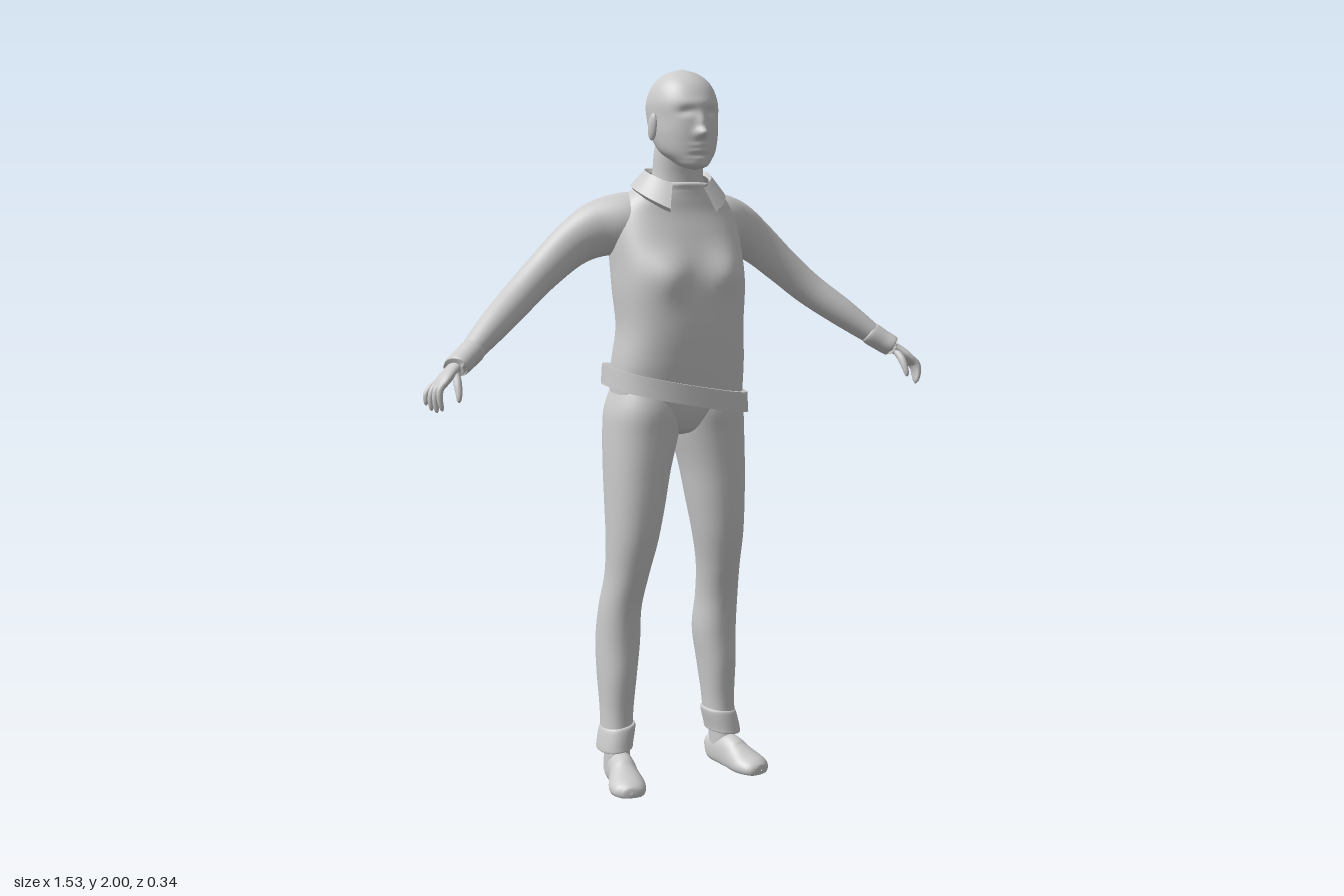
import * as THREE from 'three';
import { toCreasedNormals } from 'three/addons/utils/BufferGeometryUtils.js';

// Double sided because the clothes are open at hems and cuffs
const grey = new THREE.MeshStandardMaterial({ color: 0xcccccc, side: THREE.DoubleSide });
grey.name = 'lightGrey';

// Surface from a grid of points, closed around the second direction
function grid(nu, nv, point) {
  const pos = [], idx = [];
  for (let i = 0; i <= nu; i++)
    for (let j = 0; j < nv; j++) pos.push(...point(i / nu, j));
  for (let i = 0; i < nu; i++)
    for (let j = 0; j < nv; j++) {
      const k = (j + 1) % nv, a = i * nv + j, b = i * nv + k;
      idx.push(a, a + nv, b, b, a + nv, b + nv);
    }
  const g = new THREE.BufferGeometry();
  g.setAttribute('position', new THREE.Float32BufferAttribute(pos, 3));
  g.setIndex(idx);
  g.computeVertexNormals();
  return g;
}

const oval = (a, n) => [Math.cos(a), Math.sin(a)].map(c => Math.sign(c) * Math.abs(c) ** (2 / n));

// Smooth loft through rings [x, y, z, radiusU, radiusV, squareness]
function loft(rings, { level = true, ref = [0, 0, 1], side = 1, seg = 32, steps = 6, bend } = {}) {
  const line = f => new THREE.CatmullRomCurve3(rings.map(f), false, 'catmullrom', 0.5);
  const path = line(r => new THREE.Vector3(r[0] * side, r[1], r[2]));
  const size = line(r => new THREE.Vector3(r[3], r[4], r[5] || 2));
  const p = new THREE.Vector3();
  return grid((rings.length - 1) * steps, seg, (t, j) => {
    const s = size.getPoint(t);
    const dir = level ? new THREE.Vector3(0, 1, 0) : path.getTangent(t);
    const v = new THREE.Vector3(...ref).projectOnPlane(dir).normalize();
    const u = new THREE.Vector3().crossVectors(dir, v);
    const [c, d] = oval(j / seg * Math.PI * 2, s.z);
    path.getPoint(t, p);
    p.addScaledVector(u, c * Math.max(s.x, 0.001)).addScaledVector(v, d * Math.max(s.y, 0.001));
    if (bend) bend(p);
    return p.toArray();
  });
}

// Level ring from height, half width, front z and back z
const ring = (y, w, front, back, n, x = 0) => [x, y, (front + back) / 2, w, (front - back) / 2, n];
const bump = (a, b) => Math.exp(-a * a - b * b);

export function createModel() {
  const model = new THREE.Group();
  const add = (name, geo) => {
    const m = new THREE.Mesh(geo, grey);
    m.name = name;
    model.add(m);
    return m;
  };

  // Head with nose, brow, eye sockets, lips and chin shaped into the face
  add('head', loft([
    ring(1.728, 0.002, 0.1, 0.095), ring(1.737, 0.035, 0.127, 0.06), ring(1.755, 0.056, 0.132, 0.02),
    ring(1.78, 0.077, 0.133, -0.025), ring(1.82, 0.089, 0.136, -0.062), ring(1.86, 0.093, 0.136, -0.083),
    ring(1.91, 0.094, 0.133, -0.09), ring(1.955, 0.078, 0.11, -0.068), ring(1.985, 0.046, 0.07, -0.03),
    ring(1.999, 0.002, 0.022, 0.018),
  ], {
    seg: 80, steps: 8, bend: p => {
      if (p.z < 0.06) return;
      const x = Math.abs(p.x), y = p.y;
      p.z += 0.025 * bump(x / 0.015, (y - 1.825) / 0.013) + 0.013 * bump(x / 0.012, (y - 1.852) / 0.025)
        + 0.003 * bump(x / 0.04, (y - 1.905) / 0.014) - 0.009 * bump((x - 0.037) / 0.02, (y - 1.882) / 0.011)
        + 0.005 * bump(x / 0.026, (y - 1.793) / 0.006) + 0.005 * bump(x / 0.022, (y - 1.779) / 0.006)
        - 0.003 * bump(x / 0.03, (y - 1.766) / 0.006);
    },
  }));
  add('neck', loft([
    ring(1.6, 0.09, 0.05, -0.09), ring(1.67, 0.083, 0.056, -0.085), ring(1.72, 0.073, 0.057, -0.064),
    ring(1.78, 0.069, 0.065, -0.058), ring(1.83, 0.06, 0.06, -0.045),
  ]));

  // Shirt body, its lower edge slanting with the belt
  add('shirt', loft([
    ring(1.1, 0.19, 0.115, -0.145, 2.5), ring(1.2, 0.188, 0.13, -0.134, 2.6), ring(1.3, 0.179, 0.14, -0.12, 2.6),
    ring(1.4, 0.186, 0.137, -0.13, 2.6), ring(1.47, 0.188, 0.124, -0.138, 2.6), ring(1.55, 0.19, 0.097, -0.148, 2.4),
    ring(1.61, 0.183, 0.076, -0.145, 2.2), ring(1.65, 0.155, 0.069, -0.128, 2.1), ring(1.675, 0.125, 0.066, -0.115),
    ring(1.695, 0.085, 0.062, -0.09), ring(1.697, 0.002, 0, -0.004),
  ], {
    seg: 64, bend: p => {
      if (p.y < 1.2) p.y -= 1.9 * p.x * (1.2 - p.y);
      if (p.z > 0) p.z += 0.022 * bump((Math.abs(p.x) - 0.085) / 0.055, (p.y - 1.45) / 0.06) * Math.min(1, p.z / 0.08);
    },
  }));

  // Folded collar, open at the front with hanging points
  const collarProfile = [[0.088, 0.072, -0.012], [0.094, 0.085, 0], [0.134, 0.122, -0.042], [0.126, 0.112, -0.052]];
  const collar = grid(40, 4, (t, j) => {
    const a = (t * 2 - 1) * 2.55, [rx, rz, h] = collarProfile[j];
    const front = (1 - Math.cos(a)) / 2;
    return [rx * Math.sin(a), 1.735 + h - 0.05 * front ** 2 - (j > 1 ? 0.035 * front ** 3 : 0), -rz * Math.cos(a)];
  });
  add('collar', toCreasedNormals(collar, 0.7));

  // Slanted belt
  const beltProfile = [[-0.02, -0.055], [-0.02, 0], [0.003, 0], [0.006, -0.055]];
  const belt = grid(64, 4, (t, j) => {
    const [out, h] = beltProfile[j], [c, s] = oval(t * Math.PI * 2 - Math.PI / 2, 2.5);
    const x = (0.204 + out) * c, z = -0.018 + (0.147 + out) * s;
    return [x, 1.152 + h - 0.19 * x - 0.08 * z, z];
  }).scale(1, 1, 1);
  add('belt', toCreasedNormals(belt, 0.7));

  // Trouser seat filling the space between the legs
  add('trouserSeat', loft([
    ring(0.99, 0.002, -0.025, -0.03), ring(1.005, 0.05, 0.048, -0.1), ring(1.04, 0.12, 0.076, -0.13, 2.2),
    ring(1.09, 0.18, 0.093, -0.142, 2.4), ring(1.14, 0.188, 0.1, -0.145, 2.4),
  ], { seg: 48 }));

  for (const side of [1, -1]) {
    const name = part => (side > 0 ? 'left' : 'right') + part;
    const leg = (y, inner, outer, front, back) => ring(y, (outer - inner) / 2, front, back, 2.2, (inner + outer) / 2);

    // Leg, hem, ankle and foot
    add(name('TrouserLeg'), loft([
      leg(0.12, 0.125, 0.212, -0.008, -0.115), leg(0.2, 0.12, 0.211, -0.01, -0.122), leg(0.3, 0.109, 0.215, -0.002, -0.14),
      leg(0.4, 0.097, 0.216, 0.0, -0.149), leg(0.5, 0.099, 0.213, 0.012, -0.13), leg(0.6, 0.088, 0.205, 0.04, -0.106),
      leg(0.7, 0.067, 0.207, 0.064, -0.1), leg(0.8, 0.047, 0.209, 0.075, -0.112), leg(0.9, 0.028, 0.21, 0.08, -0.126),
      leg(1.0, 0.002, 0.208, 0.085, -0.14), leg(1.07, -0.01, 0.202, 0.09, -0.145), leg(1.14, -0.01, 0.18, 0.08, -0.13),
    ], { side }));
    add(name('TrouserHem'), loft([
      leg(0.1, 0.14, 0.2, -0.025, -0.09), leg(0.09, 0.13, 0.222, 0.004, -0.118), leg(0.105, 0.126, 0.224, 0.005, -0.121),
      leg(0.15, 0.116, 0.215, -0.003, -0.12), leg(0.158, 0.125, 0.206, -0.012, -0.112),
    ], { side, bend: p => { p.y -= 0.12 * (Math.abs(p.x) - 0.17); } }));
    add(name('Ankle'), loft([
      ring(0.02, 0.036, -0.005, -0.098, 2, 0.172), ring(0.07, 0.036, -0.005, -0.096, 2, 0.172), ring(0.14, 0.036, -0.02, -0.1, 2, 0.17),
    ], { side }));
    add(name('Foot'), loft([
      [0.164, 0.026, -0.102, 0.002, 0.002, 2.5], [0.164, 0.026, -0.1, 0.024, 0.03, 2.5], [0.167, 0.03, -0.075, 0.034, 0.045, 2.5],
      [0.176, 0.03, -0.01, 0.038, 0.056, 2.2], [0.186, 0.02, 0.03, 0.045, 0.05], [0.196, 0.015, 0.07, 0.052, 0.037],
      [0.203, 0.012, 0.105, 0.044, 0.028], [0.207, 0.012, 0.121, 0.026, 0.018], [0.208, 0.012, 0.125, 0.002, 0.002],
    ], { side, level: false, ref: [0, 1, 0], bend: p => { p.y = Math.max(p.y, 0); } }));

    // Sleeve widening into the shoulder, and cuff
    add(name('Sleeve'), loft([
      [0.07, 1.585, -0.042, 0.085, 0.095], [0.145, 1.582, -0.052, 0.086, 0.084], [0.215, 1.568, -0.066, 0.077, 0.066],
      [0.29, 1.527, -0.072, 0.062, 0.052], [0.375, 1.458, -0.066, 0.052, 0.048], [0.455, 1.39, -0.046, 0.047, 0.046],
      [0.545, 1.32, -0.002, 0.041, 0.042], [0.635, 1.248, 0.045, 0.029, 0.033],
    ], { side, level: false }));
    add(name('Cuff'), loft([
      [0.617, 1.262, 0.036, 0.026, 0.03], [0.62, 1.259, 0.038, 0.033, 0.037], [0.65, 1.238, 0.052, 0.032, 0.038],
      [0.675, 1.222, 0.064, 0.03, 0.04], [0.676, 1.221, 0.065, 0.02, 0.028],
    ], { side, level: false }));

    // Hand, fingers and thumb
    add(name('Hand'), loft([
      [0.66, 1.232, 0.058, 0.018, 0.022], [0.69, 1.212, 0.07, 0.016, 0.026], [0.715, 1.191, 0.08, 0.015, 0.034],
      [0.734, 1.17, 0.085, 0.011, 0.033], [0.738, 1.164, 0.086, 0.002, 0.01],
    ], { side, level: false, seg: 24 }));
    for (let i = 0; i < 4; i++) {
      const z = 0.056 + 0.018 * i, x = -0.006 * i, drop = [0.016, 0.004, 0, 0.006][i];
      add(name('Finger'), loft([
        [0.72, 1.187, z, 0.008, 0.008], [0.744 + x / 2, 1.17, z + 0.003, 0.009, 0.009],
        [0.756 + x, 1.145 + drop / 2, z + 0.006, 0.008, 0.008], [0.757 + x * 1.3, 1.118 + drop, z + 0.007, 0.006, 0.006],
        [0.756 + x * 1.4, 1.11 + drop, z + 0.007, 0.001, 0.001],
      ], { side, level: false, seg: 12, steps: 4 }));
    }
    add(name('Thumb'), loft([
      [0.682, 1.208, 0.08, 0.01, 0.01], [0.686, 1.185, 0.105, 0.011, 0.011], [0.688, 1.16, 0.12, 0.009, 0.009],
      [0.69, 1.142, 0.126, 0.006, 0.006], [0.69, 1.136, 0.127, 0.001, 0.001],
    ], { side, level: false, seg: 12, steps: 4 }));

    // Ear
    const ear = add(name('Ear'), new THREE.SphereGeometry(1, 20, 14));
    ear.scale.set(0.009, 0.037, 0.016);
    ear.position.set(side * 0.095, 1.843, 0.035);
    ear.rotation.set(0.2, side * -0.3, 0);
  }
  return model;
}
